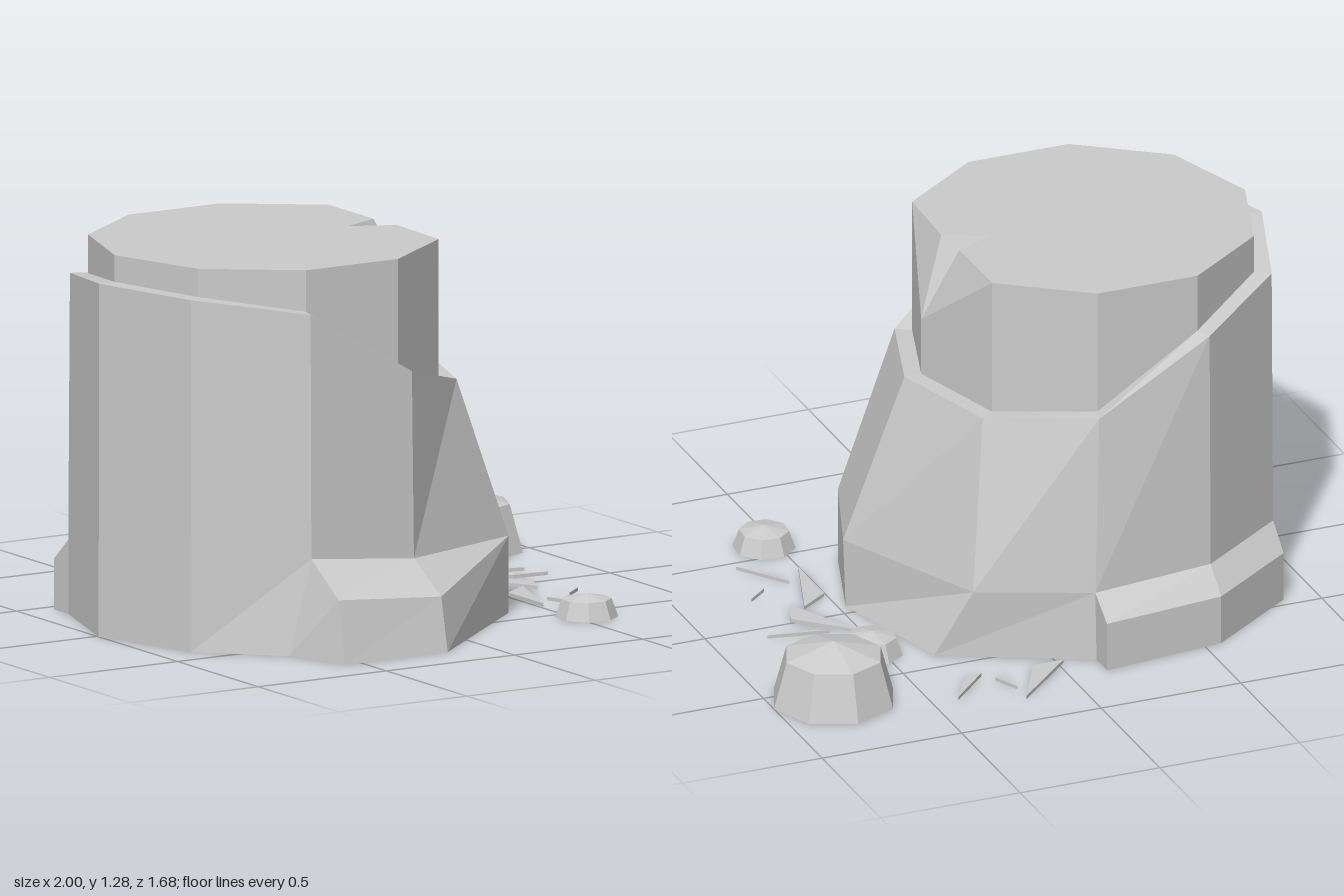
import * as THREE from 'three';

const grey = new THREE.MeshStandardMaterial({ color: 0xcccccc, flatShading: true });
const V = (x, y, z) => new THREE.Vector3(x, y, z);

// Collects triangles and quads (counter-clockwise from outside), skipping collapsed ones
class Faces {
  pos = [];
  tri(a, b, c) {
    const area = b.clone().sub(a).cross(c.clone().sub(a)).length();
    if (area > 1e-6) for (const p of [a, b, c]) this.pos.push(p.x, p.y, p.z);
  }
  quad(a, b, c, d) { this.tri(a, b, c); this.tri(a, c, d); }
  band(low, high) {
    low.forEach((p, i) => {
      const j = (i + 1) % low.length;
      this.quad(p, low[j], high[j], high[i]);
    });
  }
  cap(ring, up) {
    const flat = ring.map(p => new THREE.Vector2(p.x, -p.z));
    for (const [a, b, c] of THREE.ShapeUtils.triangulateShape(flat, [])) {
      if (up) this.tri(ring[a], ring[b], ring[c]);
      else this.tri(ring[a], ring[c], ring[b]);
    }
  }
  mesh(name) {
    const g = new THREE.BufferGeometry();
    g.setAttribute('position', new THREE.Float32BufferAttribute(this.pos, 3));
    g.computeVertexNormals();
    return named(g, name);
  }
}

function named(geometry, name) {
  const m = new THREE.Mesh(geometry, grey);
  m.name = name;
  return m;
}

// Ten-sided ring, running anticlockwise from +x as seen from above
const rimHeights = [0.82, 0.81, 0.85, 1.08, 1.15, 1.19, 1.185, 1.14, 0.91, 0.81];
const decagon = (r, heights) => heights.map((y, k) => {
  const a = k * Math.PI / 5;
  return V(-0.36 + r * Math.cos(a), y, 0.013 - r * Math.sin(a));
});

// Outer shell with a slanting rim, flaring into two root ledges
function shell() {
  const rim = decagon(0.64, rimHeights), inner = decagon(0.58, rimHeights);
  // [rim corner, middle point, ledge point (or null), ground x, ground z]
  const columns = [
    [0, [0.48, 0.24, 0.06], null, 0.475, 0.05],
    [1, [0.24, 0.24, -0.48], null, 0.35, -0.41],
    [2, [-0.13, 0.24, -0.64], null, -0.13, -0.65],
    [2, [-0.13, 0.24, -0.64], [-0.13, 0.17, -0.74], -0.13, -0.74],
    [3, [-0.56, 0.25, -0.6], [-0.56, 0.17, -0.69], -0.56, -0.69],
    [4, [-0.88, 0.25, -0.37], [-0.88, 0.17, -0.46], -0.88, -0.46],
    [4, [-0.88, 0.25, -0.37], null, -0.88, -0.37],
    [5, [-1, 0.25, 0.01], null, -1, 0.01],
    [6, [-0.88, 0.25, 0.39], null, -0.88, 0.39],
    [7, [-0.56, 0.32, 0.63], null, -0.64, 0.62],
    [7, [-0.56, 0.32, 0.63], [-0.56, 0.21, 0.8], -0.56, 0.84],
    [8, [-0.16, 0.28, 0.63], [-0.16, 0.18, 0.8], -0.16, 0.84],
    [9, [0.36, 0.26, 0.39], null, 0.36, 0.39],
  ];
  const top = columns.map(c => rim[c[0]]);
  const middle = columns.map(c => V(...c[1]));
  const ledge = columns.map(c => V(...(c[2] ?? c[1])));
  const ground = columns.map(c => V(c[3], 0, c[4]));
  const f = new Faces();
  f.band(rim, inner);
  f.band(middle, top);
  f.band(ledge, middle);
  f.band(ground, ledge);
  f.cap(ground, false);
  return f.mesh('outerShell');
}

// Inner core with a flat top, chipped at the +x corner
function core() {
  const f = new Faces();
  const low = decagon(0.58, rimHeights);
  const top = decagon(0.58, rimHeights.map((_, k) => (k ? 1.28 : 1.02)));
  f.band(low, top);
  const chip = top[0];
  const edge = [top[9], V(0.12, 1.28, 0.08), V(-0.03, 1.28, 0.01), V(0.11, 1.28, -0.05), top[1]];
  for (let i = 0; i < 4; i++) f.tri(chip, edge[i + 1], edge[i]);
  f.cap([...top.slice(1), ...edge.slice(1, 4)], true);
  return f.mesh('innerCore');
}

// Eight-sided domed rock
function rock(name, x, z, r, h, turn) {
  const profile = [[0, 0], [r, 0], [r * 0.79, h * 0.77], [0, h]].map(p => new THREE.Vector2(...p));
  const m = named(new THREE.LatheGeometry(profile, 8), name);
  m.position.set(x, 0, z);
  m.rotation.y = turn;
  return m;
}

// Thin splinters lying on the ground: three x, z corners each
function splinters() {
  const group = new THREE.Group();
  group.name = 'splinters';
  const corners = [
    [-0.02, -0.63, 0.2, -0.84, 0.09, -0.63],
    [0.2, -0.76, 0.24, -0.67, 0.22, -0.66],
    [0.41, -0.76, 0.27, -0.62, 0.34, -0.64],
    [0.68, -0.21, 0.78, -0.18, 0.73, -0.19],
    [0.6, -0.12, 0.81, -0.08, 0.68, -0.09],
    [0.51, -0.16, 0.69, 0.01, 0.65, 0.11],
    [0.61, 0.08, 0.51, 0.15, 0.51, 0.37],
    [0.75, 0.2, 0.69, 0.25, 0.68, 0.26],
    [0.58, 0.28, 0.7, 0.45, 0.6, 0.34],
  ];
  for (const [a, b, c, d, e, g] of corners) {
    const shape = new THREE.Shape([[a, -b], [c, -d], [e, -g]].map(p => new THREE.Vector2(...p)));
    const geo = new THREE.ExtrudeGeometry(shape, { depth: 0.012, bevelEnabled: false });
    group.add(named(geo.rotateX(-Math.PI / 2), 'splinter'));
  }
  return group;
}

export function createModel() {
  const model = new THREE.Group();
  model.name = 'brokenStump';
  model.add(
    shell(),
    core(),
    rock('largeRock', 0.787, -0.59, 0.213, 0.21, 0),
    rock('smallRockBack', 0.535, -0.31, 0.107, 0.08, 0.2),
    rock('smallRockFront', 0.545, 0.58, 0.105, 0.08, 0.3),
    splinters(),
  );
  return model;
}
